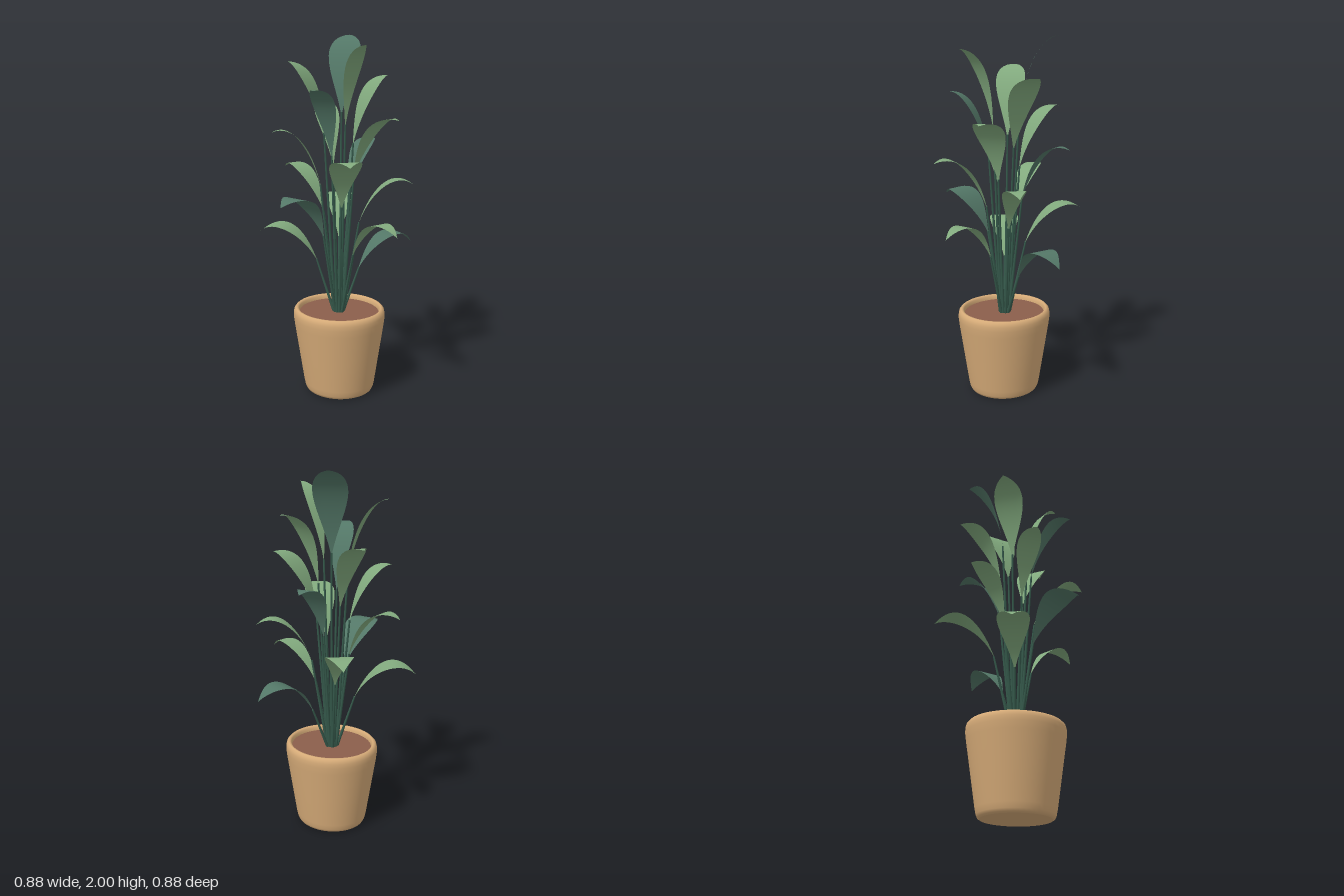
import * as THREE from 'three';

const CX = -0.03, CZ = -0.035; // where the stems gather

// Leaves from top to bottom: tip x, tip z, crest height, full width, dark tone
const LEAVES = [
  [0.18, -0.23, 2.0, 0.18, 1],
  [-0.065, 0.265, 1.93, 0.095, 0],
  [-0.205, -0.29, 1.86, 0.165, 0],
  [0.27, 0.03, 1.79, 0.178, 0],
  [-0.305, 0.14, 1.72, 0.13, 1],
  [0.07, -0.37, 1.645, 0.14, 0],
  [0.12, 0.30, 1.575, 0.17, 0],
  [-0.36, -0.18, 1.51, 0.13, 0],
  [0.32, -0.17, 1.44, 0.13, 1],
  [-0.205, 0.325, 1.37, 0.17, 0],
  [-0.13, -0.44, 1.30, 0.12, 0],
  [0.31, 0.20, 1.235, 0.125, 0],
  [-0.44, 0.04, 1.165, 0.19, 1],
  [0.23, -0.40, 1.10, 0.15, 0],
  [0.01, 0.435, 1.03, 0.105, 0],
  [-0.36, -0.36, 0.96, 0.17, 0],
  [0.435, 0.035, 0.89, 0.145, 1],
];

function material(name, color, side = THREE.FrontSide) {
  const m = new THREE.MeshStandardMaterial({ color, side });
  m.name = name;
  return m;
}

function addMesh(parent, name, geometry, mat) {
  const mesh = new THREE.Mesh(geometry, mat);
  mesh.name = name;
  parent.add(mesh);
  return mesh;
}

// Blade swept along a curve, narrow at the stem and pointed at the tip
function leafGeometry(curve, across, width) {
  const rows = 18, cols = 4, pos = [], index = [];
  for (let i = 0; i <= rows; i++) {
    const s = i / rows;
    const p = curve.getPoint(s);
    const half = 0.5 * width * Math.max(0.015, Math.sin(Math.PI * Math.pow(s, 1.3)));
    for (let j = 0; j <= cols; j++) {
      const q = p.clone().addScaledVector(across, half * (2 * j / cols - 1));
      pos.push(q.x, q.y, q.z);
    }
  }
  for (let i = 0; i < rows; i++) {
    for (let j = 0; j < cols; j++) {
      const a = i * (cols + 1) + j, b = a + cols + 1;
      index.push(a, a + 1, b, a + 1, b + 1, b);
    }
  }
  const g = new THREE.BufferGeometry();
  g.setAttribute('position', new THREE.Float32BufferAttribute(pos, 3));
  g.setIndex(index);
  g.computeVertexNormals();
  return g;
}

// Tapered straight stem between two points
function stemGeometry(a, b) {
  const d = b.clone().sub(a);
  const g = new THREE.CylinderGeometry(0.005, 0.009, d.length(), 8);
  const turn = new THREE.Quaternion().setFromUnitVectors(new THREE.Vector3(0, 1, 0), d.normalize());
  g.applyQuaternion(turn);
  const mid = a.clone().add(b).multiplyScalar(0.5);
  return g.translate(mid.x, mid.y, mid.z);
}

export function createModel() {
  const model = new THREE.Group();
  model.name = 'pottedPlant';
  const clay = material('clay', 0xd6ab78);
  const earth = material('earth', 0x8b5e4b);
  const stemGreen = material('stemGreen', 0x35594b);
  const paleLeaf = material('paleLeaf', 0x82aa7e, THREE.DoubleSide);
  const darkLeaf = material('darkLeaf', 0x537767, THREE.DoubleSide);

  // Pot: slightly oval, with a rounded foot and rim
  const pot = new THREE.Group();
  pot.name = 'pot';
  pot.position.set(CX, 0, -0.031);
  pot.scale.z = 1.06;
  model.add(pot);
  const v = (x, y) => new THREE.Vector2(x, y);
  addMesh(pot, 'potBase', new THREE.CircleGeometry(0.176, 48).rotateX(Math.PI / 2), clay);
  const wall = [
    v(0.176, 0), v(0.186, 0.006), v(0.193, 0.02), v(0.199, 0.05), v(0.224, 0.22), v(0.249, 0.39),
    v(0.254, 0.43), v(0.254, 0.455), v(0.25, 0.473), v(0.24, 0.484), v(0.231, 0.484),
    v(0.224, 0.476), v(0.221, 0.46), v(0.219, 0.44),
  ];
  addMesh(pot, 'potWall', new THREE.LatheGeometry(wall, 48), clay);
  addMesh(pot, 'soil', new THREE.CircleGeometry(0.223, 48).rotateX(-Math.PI / 2), earth).position.y = 0.457;

  // Leaves spiral down the plant; lower ones arch further out and droop more
  LEAVES.forEach(([x, z, crest, width, dark], i) => {
    const u = i / (LEAVES.length - 1);
    const reach = Math.hypot(x - CX, z - CZ);
    const ox = (x - CX) / reach, oz = (z - CZ) / reach;
    const at = (r, y) => new THREE.Vector3(CX + ox * r, y, CZ + oz * r);
    const r0 = 0.075 + 0.045 * u, y0 = crest - 0.45 + 0.24 * u;
    const curve = new THREE.CubicBezierCurve3(
      at(r0, y0),
      at(r0 + 0.02 + 0.06 * u, y0 + 0.23 - 0.05 * u),
      at(reach - 0.115, crest - 0.01 + 0.08 * u),
      at(reach, crest - 0.07 * u),
    );
    const leaf = new THREE.Group();
    leaf.name = 'leaf' + (i + 1);
    model.add(leaf);
    addMesh(leaf, 'stem', stemGeometry(at(0.024, 0.44), curve.getPoint(0.04)), stemGreen);
    const across = new THREE.Vector3(-oz, 0, ox);
    addMesh(leaf, 'blade', leafGeometry(curve, across, width), dark ? darkLeaf : paleLeaf);
  });
  return model;
}
